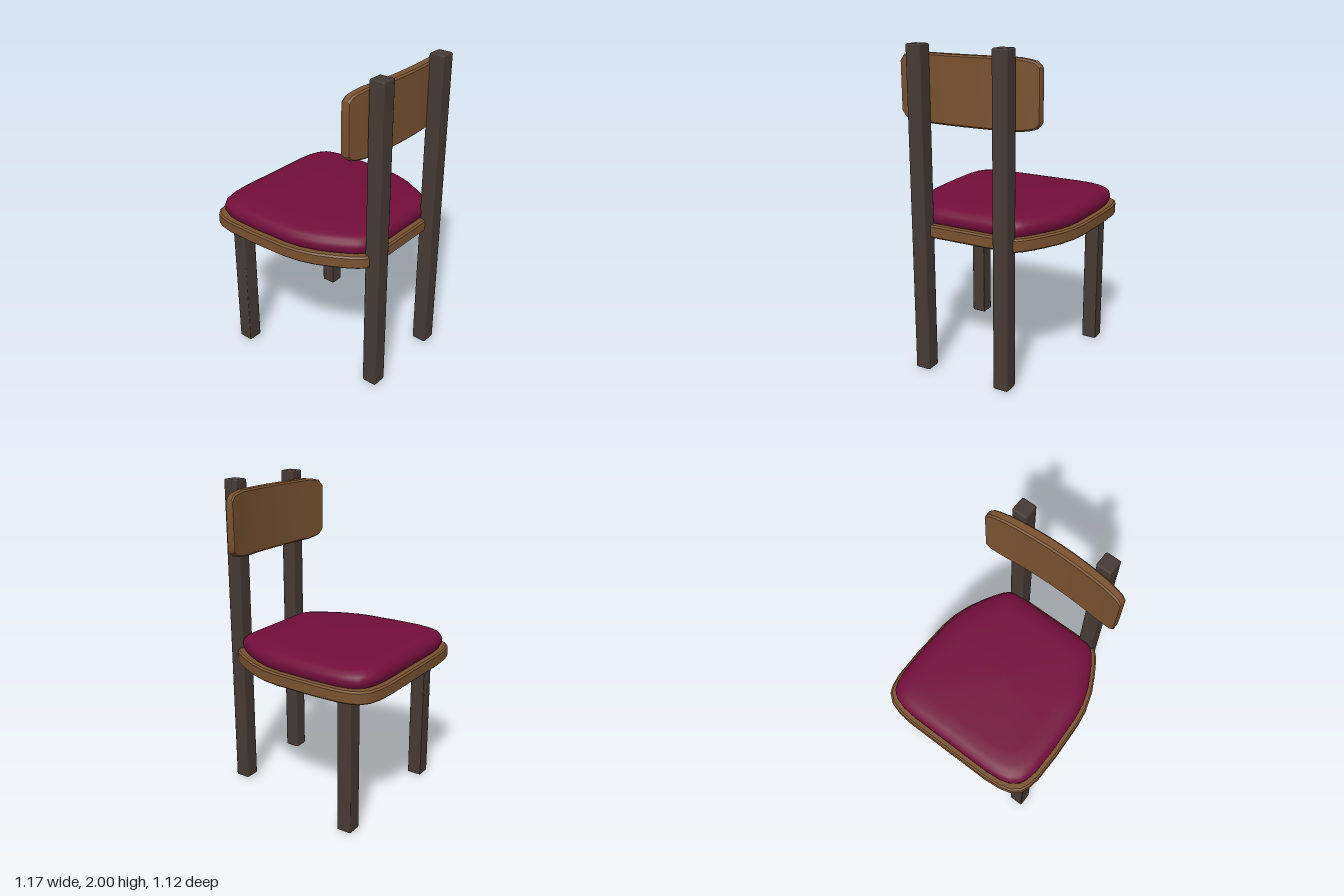
import * as THREE from 'three';
import { toCreasedNormals } from 'three/addons/utils/BufferGeometryUtils.js';
import { RoundedBoxGeometry } from 'three/addons/geometries/RoundedBoxGeometry.js';

const wood = new THREE.MeshStandardMaterial({ color: 0x7a5230 });
const darkWood = new THREE.MeshStandardMaterial({ color: 0x463a35 });
const fabric = new THREE.MeshStandardMaterial({ color: 0x720e3a });

// Skin a stack of closed rings (counterclockwise about the stacking axis) and cap both ends.
function loft(rings, crease) {
  const n = rings[0].length;
  const positions = rings.flat(2);
  const index = [];
  for (let i = 0; i < rings.length - 1; i++) {
    for (let j = 0; j < n; j++) {
      const a = i * n + j, b = i * n + (j + 1) % n;
      index.push(a, b, b + n, a, b + n, a + n);
    }
  }
  [0, rings.length - 1].forEach((r, end) => {
    const centre = positions.length / 3;
    for (let k = 0; k < 3; k++) positions.push(rings[r].reduce((s, p) => s + p[k], 0) / n);
    for (let j = 0; j < n; j++) {
      const a = r * n + j, b = r * n + (j + 1) % n;
      if (end) index.push(centre, a, b);
      else index.push(centre, b, a);
    }
  });
  const geometry = new THREE.BufferGeometry();
  geometry.setAttribute('position', new THREE.Float32BufferAttribute(positions, 3));
  geometry.setIndex(index);
  return toCreasedNormals(geometry, crease);
}

// Half of the seat outline as [x, z], from the narrow back to the wide front.
const HALF = [
  [0.53, 0.1], [0.53, 0.22], [0.525, 0.31], [0.51, 0.345], [0.48, 0.375], [0.43, 0.41],
  [0.36, 0.45], [0.26, 0.5], [0.15, 0.535], [0.05, 0.55], [-0.2, 0.56], [-0.39, 0.557],
  [-0.47, 0.542], [-0.52, 0.52], [-0.56, 0.47], [-0.58, 0.4], [-0.59, 0.3], [-0.59, 0.1],
];
const OUTLINE = [...HALF.map(([x, z]) => [x, -z]), ...HALF.slice().reverse()];

// Seat outline at height y, drawn in by the given inset.
function seatRing(inset, y) {
  const sx = 1 - inset / 0.56, sz = 1 - inset / 0.56;
  return OUTLINE.map(([x, z]) => [-0.03 + (x + 0.03) * sx, y, z * sz]);
}

// Backrest cross-section at z: a chamfered upright bar on a gentle curve.
function backrestRing(z, half, inset = 0) {
  const t = (z / 0.455) ** 2;
  const x0 = 0.442 - 0.034 * t + inset;
  const x1 = 0.505 - 0.045 * t - inset;
  const h = half - inset, c = 0.01, y = 1.745;
  return [
    [x1, y - h + c], [x1, y + h - c], [x1 - c, y + h], [x0 + c, y + h],
    [x0, y + h - c], [x0, y - h + c], [x0 + c, y - h], [x1 - c, y - h],
  ].map(([px, py]) => [px, py, z]);
}

export function createModel() {
  const chair = new THREE.Group();
  chair.name = 'chair';
  const add = (name, geometry, material) => {
    const mesh = new THREE.Mesh(geometry, material);
    mesh.name = name;
    chair.add(mesh);
    return mesh;
  };

  // Seat board with a small edge bevel
  const board = [[0.01, 0.862], [0, 0.872], [0, 0.932], [0.01, 0.942]];
  add('seatBoard', loft(board.map((p) => seatRing(...p)), 0.6), wood);

  // Padded cushion with soft sides
  const pad = [
    [0.042, 0.94], [0.032, 0.962], [0.03, 0.985], [0.037, 1.008], [0.052, 1.025],
    [0.075, 1.037], [0.11, 1.045], [0.17, 1.049],
  ];
  add('cushion', loft(pad.map((p) => seatRing(...p)), 1.2), fabric);

  // Legs; the back pair carries on up as posts
  for (const side of [1, -1]) {
    const name = side > 0 ? 'left' : 'right';
    add(name + 'FrontLeg', new RoundedBoxGeometry(0.095, 0.868, 0.095, 1, 0.006), darkWood)
      .position.set(-0.392, 0.434, -0.435 * side);
    add(name + 'BackPost', new RoundedBoxGeometry(0.098, 1.985, 0.098, 1, 0.01), darkWood)
      .position.set(0.535, 1.0075, -0.276 * side);
  }

  // Curved backrest with clipped corners
  const ends = [[0.455, 0.14, 0.012], [0.45, 0.155], [0.425, 0.182], [0.39, 0.191], [0.325, 0.2]];
  const stations = ends.map(([z, h, i]) => [-z, h, i]);
  for (let k = -3; k <= 3; k++) stations.push([k * 0.08, 0.2]);
  stations.push(...ends.slice().reverse());
  add('backrest', loft(stations.map((s) => backrestRing(...s)), 0.5), wood);

  return chair;
}
